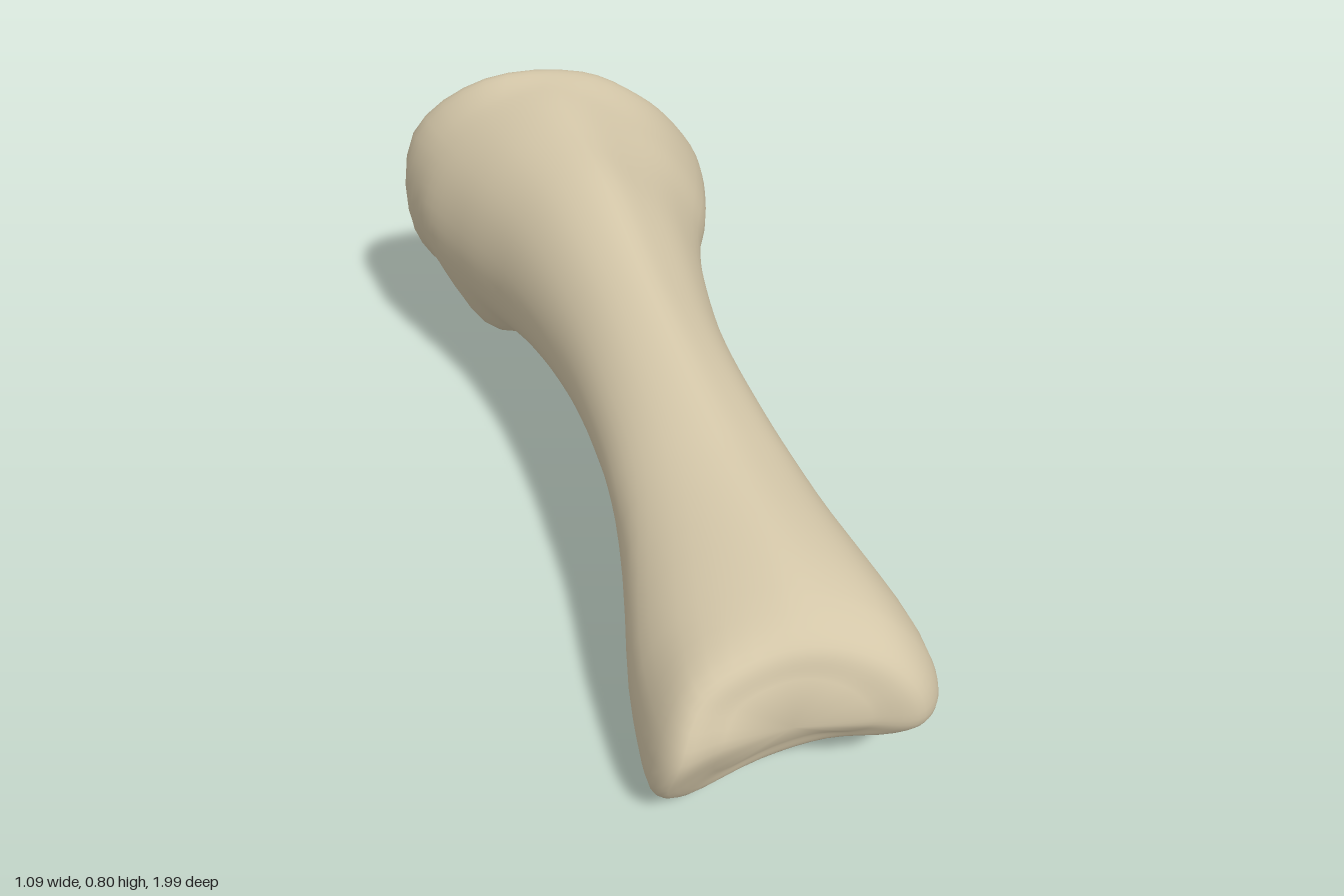
import * as THREE from 'three';

const SIDES = 48, STEPS = 6;

// Every ring has 12 points, from the top round towards +x as seen from the front.
const frontFace = [
  [0.22, 0.39, 0.89], [0.33, 0.39, 0.88], [0.43, 0.35, 0.89], [0.49, 0.28, 0.9],
  [0.5, 0.21, 0.9], [0.46, 0.165, 0.88], [0.33, 0.145, 0.87], [0.2, 0.11, 0.885],
  [0.05, 0.04, 0.91], [0.01, 0.1, 0.96], [0.03, 0.22, 0.995], [0.08, 0.34, 0.94],
];
const frontRim = [
  [0.22, 0.45, 0.78], [0.33, 0.44, 0.78], [0.44, 0.39, 0.8], [0.52, 0.29, 0.8],
  [0.54, 0.2, 0.8], [0.49, 0.145, 0.79], [0.33, 0.13, 0.74], [0.2, 0.1, 0.72],
  [0.02, 0.0, 0.74], [-0.02, 0.04, 0.78], [-0.03, 0.24, 0.8], [0.05, 0.38, 0.78],
];
const backRim = [
  [-0.1, 0.78, -0.69], [0.04, 0.7, -0.72], [0.13, 0.585, -0.79], [0.195, 0.44, -0.86],
  [0.18, 0.29, -0.9], [0.09, 0.19, -0.89], [-0.06, 0.18, -0.89], [-0.21, 0.07, -0.82],
  [-0.41, 0.12, -0.85], [-0.53, 0.3, -0.77], [-0.515, 0.62, -0.7], [-0.33, 0.78, -0.66],
];
const backFace = [
  [-0.1, 0.75, -0.73], [0.02, 0.67, -0.76], [0.1, 0.55, -0.83], [0.15, 0.44, -0.94],
  [0.1, 0.34, -0.99], [0.01, 0.26, -0.98], [-0.09, 0.21, -0.95], [-0.22, 0.15, -0.915],
  [-0.39, 0.18, -0.9], [-0.48, 0.33, -0.84], [-0.47, 0.6, -0.76], [-0.33, 0.74, -0.7],
];
// Shaft ovals: z, x from/to, y from/to, hollow on the underside
const shaft = [
  [0.45, -0.06, 0.36, 0.19, 0.53, 0.03],
  [0.25, -0.1, 0.275, 0.225, 0.585, 0],
  [0.0, -0.175, 0.2, 0.22, 0.655, 0],
  [-0.25, -0.29, 0.17, 0.195, 0.73, 0],
  [-0.42, -0.4, 0.175, 0.165, 0.76, 0],
  [-0.58, -0.5, 0.2, 0.13, 0.785, 0.09],
];

const toVectors = (pts) => pts.map((p) => new THREE.Vector3(...p));
const shrink = (ring, centre, t) => ring.map((p) => p.clone().lerp(centre, t));

function oval([z, x0, x1, y0, y1, hollow]) {
  return Array.from({ length: 12 }, (_, k) => {
    const a = (k * Math.PI) / 6;
    // Flattened upper +x shoulder, hollow beside a ridge underneath
    const r = { 1: 0.89, 2: 0.91 }[k] ?? 1;
    const dent = { 5: 0.3, 6: 1, 7: -0.6 }[k] ?? 0;
    return new THREE.Vector3(
      (x0 + x1) / 2 + ((x1 - x0) / 2) * r * Math.sin(a),
      (y0 + y1) / 2 + ((y1 - y0) / 2) * r * Math.cos(a) + dent * hollow, z);
  });
}

// Smooth skin through the rings, closed by a fan at each end
function skin(rings, frontCentre, backCentre) {
  const stations = (rings.length - 1) * STEPS + 1;
  const rails = rings[0].map((_, k) => new THREE.CatmullRomCurve3(rings.map((r) => r[k])));
  const pos = [], index = [];
  for (let s = 0; s < stations; s++) {
    const loop = new THREE.CatmullRomCurve3(rails.map((r) => r.getPoint(s / (stations - 1))), true);
    for (let k = 0; k < SIDES; k++) pos.push(...loop.getPoint(k / SIDES).toArray());
  }
  const front = stations * SIDES, back = front + 1, last = (stations - 1) * SIDES;
  pos.push(...frontCentre.toArray(), ...backCentre.toArray());
  for (let k = 0; k < SIDES; k++) {
    const n = (k + 1) % SIDES;
    for (let s = 0; s < stations - 1; s++) {
      const a = s * SIDES, b = a + SIDES;
      index.push(a + k, a + n, b + k, a + n, b + n, b + k);
    }
    index.push(front, n, k, back, last + k, last + n);
  }
  const geo = new THREE.BufferGeometry();
  geo.setAttribute('position', new THREE.Float32BufferAttribute(pos, 3));
  geo.setIndex(index);
  geo.computeVertexNormals();
  return geo;
}

export function createModel() {
  const bone = new THREE.MeshStandardMaterial({ color: 0xd3c6a8 });
  bone.name = 'bone';

  const frontCentre = new THREE.Vector3(0.25, 0.25, 0.94);
  const backCentre = new THREE.Vector3(-0.18, 0.43, -0.82);
  const front = toVectors(frontFace), back = toVectors(backFace);
  const rings = [
    shrink(front, frontCentre, 0.4), front, toVectors(frontRim),
    ...shaft.map(oval),
    toVectors(backRim), back, shrink(back, backCentre, 0.4),
  ];

  const mesh = new THREE.Mesh(skin(rings, frontCentre, backCentre), bone);
  mesh.name = 'limbBone';
  const group = new THREE.Group();
  group.name = 'bone';
  group.add(mesh);
  return group;
}
